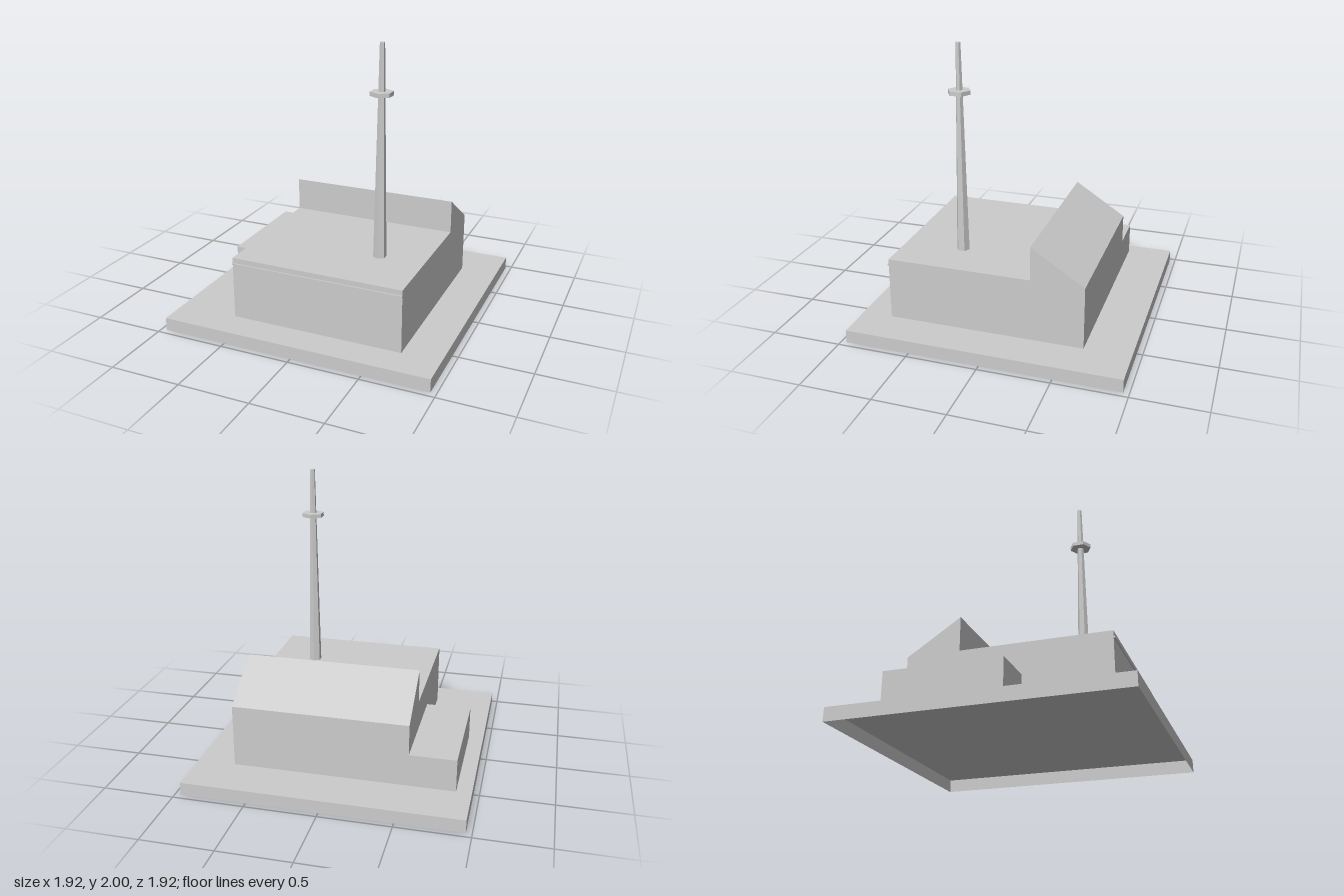
import * as THREE from 'three';

export function createModel() {
  const model = new THREE.Group();
  const concrete = new THREE.MeshStandardMaterial({ color: 0xcccccc, flatShading: true, side: THREE.DoubleSide });
  concrete.name = 'light grey';

  const add = (name, geometry, x = 0, y = 0, z = 0) => {
    const mesh = new THREE.Mesh(geometry, concrete);
    mesh.name = name;
    mesh.position.set(x, y, z);
    model.add(mesh);
    return mesh;
  };
  // Box given by its limits on each axis
  const block = (name, [x0, x1], [y0, y1], [z0, z1]) =>
    add(name, new THREE.BoxGeometry(x1 - x0, y1 - y0, z1 - z0), (x0 + x1) / 2, (y0 + y1) / 2, (z0 + z1) / 2);

  // Ground slab: a shell, open underneath
  const slab = block('groundSlab', [-0.96, 0.96], [0, 0.092], [-0.96, 0.96]).geometry;
  const faces = Array.from(slab.index.array);
  faces.splice(18, 6);
  slab.setIndex(faces);
  slab.clearGroups();

  // Main hall: side profile with a raised sloping roof at the back, as [z, y]
  const left = 0.69, right = -0.535;
  const profile = [[0.745, 0.092], [0.745, 0.535], [-0.27, 0.535], [-0.27, 0.773], [-0.638, 0.535], [-0.638, 0.092]];
  const shape = new THREE.Shape(profile.map(([z, y]) => new THREE.Vector2(-z, y)));
  const hall = new THREE.ExtrudeGeometry(shape, { depth: left - right, bevelEnabled: false });
  hall.rotateY(Math.PI / 2);
  add('mainHall', hall, right);

  // Thin ledge along the front wall
  block('frontLedge', [right, left], [0.486, 0.498], [0.74, 0.755]);

  // Low side wing
  block('sideWing', [-0.855, right], [0.092, 0.322], [-0.638, 0.152]);

  // Tapered six-sided mast with a collar
  add('mast', new THREE.CylinderGeometry(0.017, 0.046, 1.465, 6), 0.37, 1.2675, 0.32);
  add('mastCollar', new THREE.CylinderGeometry(0.079, 0.079, 0.028, 6), 0.37, 1.67, 0.32);

  return model;
}
